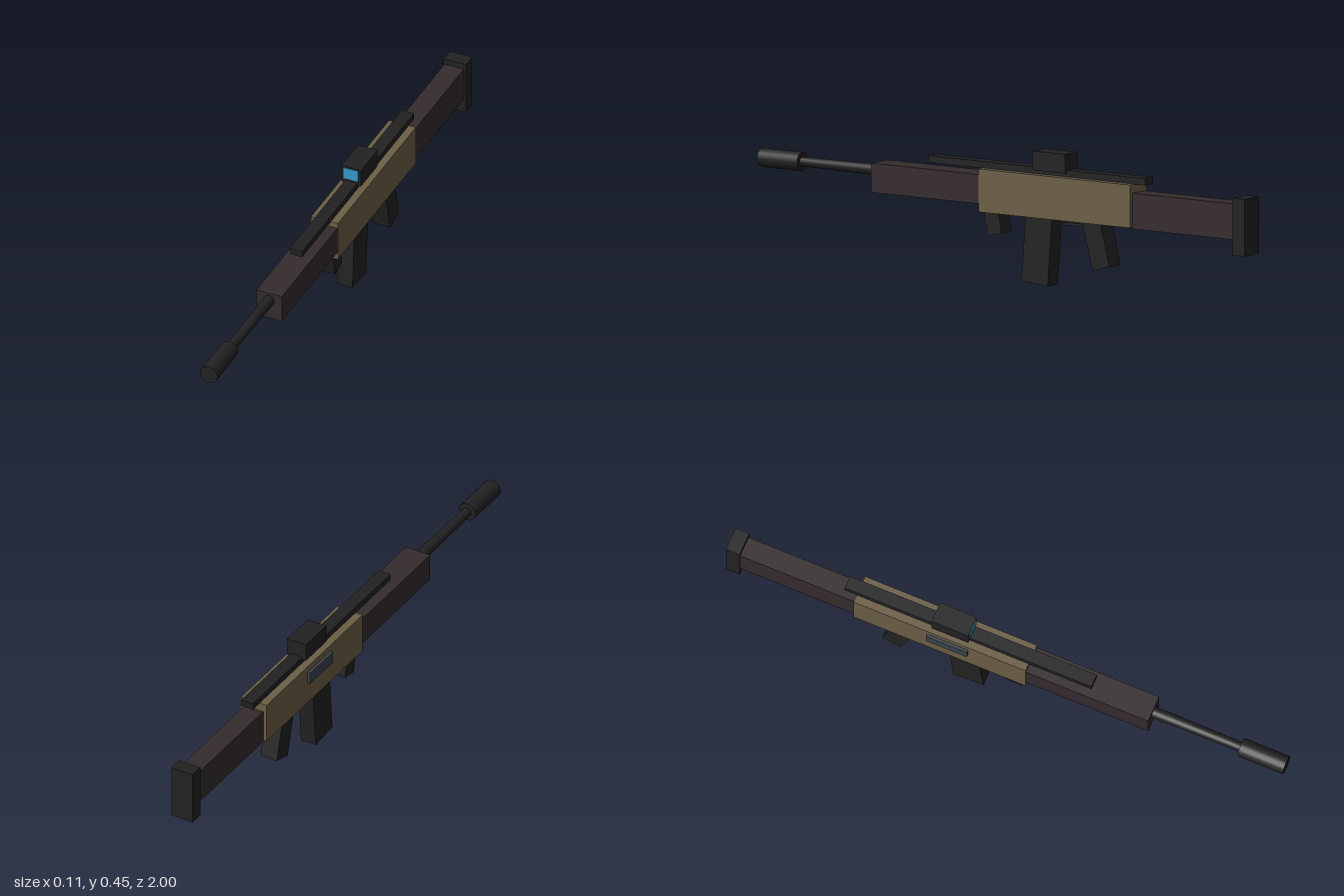
import * as THREE from 'three';

const CX = 0.004; // centre line of the body

const material = (name, color) => {
  const m = new THREE.MeshStandardMaterial({ color });
  m.name = name;
  return m;
};

export function createModel() {
  const black = material('black metal', 0x222222);
  const brown = material('dark brown', 0x352b2d);
  const tan = material('tan', 0x6c5f47);
  const blue = material('lens blue', 0x369bcc);
  const steel = material('blue grey steel', 0x3b444e);

  const group = new THREE.Group();
  const add = (name, geometry, mat) => {
    const mesh = new THREE.Mesh(geometry, mat);
    mesh.name = name;
    group.add(mesh);
    return mesh;
  };

  // Box between two limits on each axis
  const box = (name, mat, [x0, x1], [y0, y1], [z0, z1]) =>
    add(name, new THREE.BoxGeometry(x1 - x0, y1 - y0, z1 - z0), mat)
      .position.set((x0 + x1) / 2, (y0 + y1) / 2, (z0 + z1) / 2);

  // Slanted box hanging under the body, placed by the centre of its lower end
  const slanted = (name, width, length, depth, y, z, angle) => {
    const geometry = new THREE.BoxGeometry(width, length, depth).translate(0, length / 2, 0);
    const mesh = add(name, geometry, black);
    mesh.position.set(CX, y, z);
    mesh.rotation.x = angle;
  };

  // Cylinder along z, from z0 (back) to z1 (front)
  const tube = (name, backRadius, frontRadius, z0, z1) => {
    const geometry = new THREE.CylinderGeometry(frontRadius, backRadius, z1 - z0, 20).rotateX(Math.PI / 2);
    add(name, geometry, black).position.set(CX, 0.325, (z0 + z1) / 2);
  };

  // Body and furniture
  box('receiver', tan, [-0.045, 0.053], [0.228, 0.372], [-0.537, 0.082]);
  box('forend', brown, [-0.042, 0.051], [0.255, 0.353], [0.07, 0.522]);
  box('stock', brown, [-0.033, 0.038], [0.223, 0.343], [-0.955, -0.515]);
  box('buttPad', black, [-0.037, 0.045], [0.172, 0.363], [-1, -0.95]);
  box('ejectionPort', steel, [-0.055, -0.044], [0.307, 0.349], [-0.272, -0.125]);

  // Barrel and muzzle
  tube('barrel', 0.02, 0.016, 0.5, 0.85);
  tube('muzzle', 0.032, 0.032, 0.837, 1);

  // Rail and sight
  box('topRail', black, [-0.018, 0.027], [0.371, 0.394], [-0.58, 0.308]);
  box('sight', black, [-0.032, 0.04], [0.385, 0.449], [-0.262, -0.13]);
  box('sightLens', blue, [-0.022, 0.031], [0.403, 0.444], [-0.132, -0.127]);

  // Parts under the body
  slanted('magazine', 0.057, 0.27, 0.108, 0.0045, -0.132, -0.08);
  slanted('rearGrip', 0.064, 0.2, 0.072, 0.078, -0.406, 0.25);
  slanted('frontGrip', 0.056, 0.11, 0.058, 0.154, 0.031, 0.2);
  box('triggerGuard', black, [-0.011, 0.019], [0.208, 0.218], [-0.345, -0.242]);

  return group;
}
